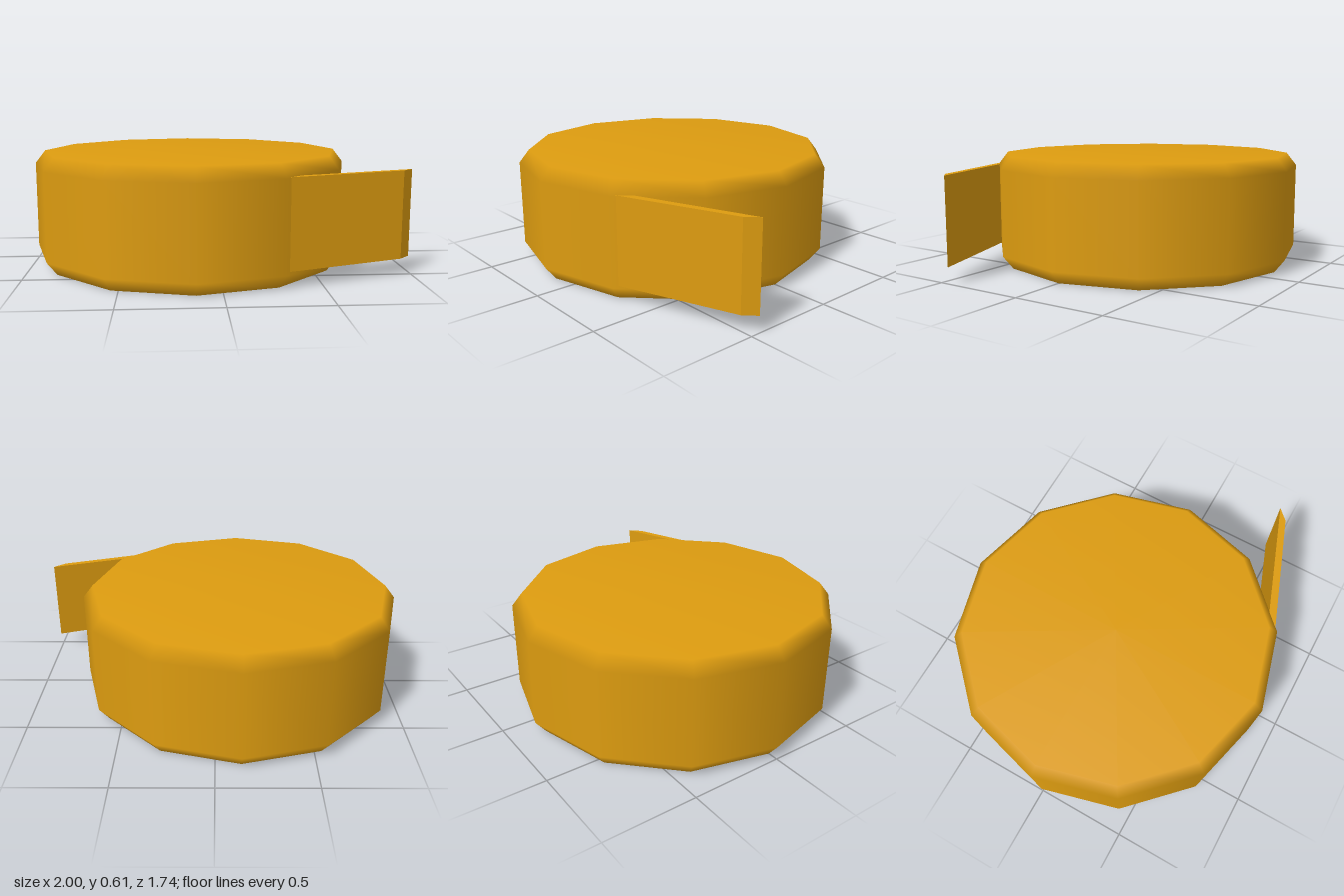
import * as THREE from 'three';

const SIDES = 12;
const CENTRE_X = -0.13;

export function createModel() {
  const model = new THREE.Group();
  model.name = 'bottleCap';
  const amber = new THREE.MeshStandardMaterial({ color: 0xdd9c10, side: THREE.DoubleSide });
  amber.name = 'amber';

  // Profile rows: radius, height, outward normal, upward normal
  const profile = [
    [0.815, 0, 0.77, -0.64],
    [0.87, 0.07, 1, 0],
    [0.87, 0.54, 1, 0],
    [0.815, 0.61, 0.08, 0.997],
    [0, 0.61, 0, 1],
  ];

  // Thin shell: bevelled twelve-sided wall with a closed top and an open bottom
  const shellGeometry = new THREE.LatheGeometry(
    profile.map(([r, y]) => new THREE.Vector2(r, y)), SIDES);
  const normals = shellGeometry.attributes.normal;
  for (let i = 0; i < normals.count; i++) {
    const [, , out, up] = profile[i % profile.length];
    const angle = Math.floor(i / profile.length) / SIDES * Math.PI * 2;
    normals.setXYZ(i, out * Math.sin(angle), up, out * Math.cos(angle));
  }
  const shell = new THREE.Mesh(shellGeometry, amber);
  shell.name = 'capShell';
  shell.position.x = CENTRE_X;
  model.add(shell);

  // Slanted pull tab leaving one wall facet, outlined in plan as (x, -z)
  const outline = new THREE.Shape([
    new THREE.Vector2(0.32, -0.735),
    new THREE.Vector2(0.94, -0.51),
    new THREE.Vector2(1.0, -0.45),
    new THREE.Vector2(0.387, -0.668),
  ]);
  const tabGeometry = new THREE.ExtrudeGeometry(outline, { depth: 0.46, bevelEnabled: false });
  tabGeometry.rotateX(-Math.PI / 2);
  const tab = new THREE.Mesh(tabGeometry, amber);
  tab.name = 'pullTab';
  tab.position.y = 0.085;
  model.add(tab);

  return model;
}
